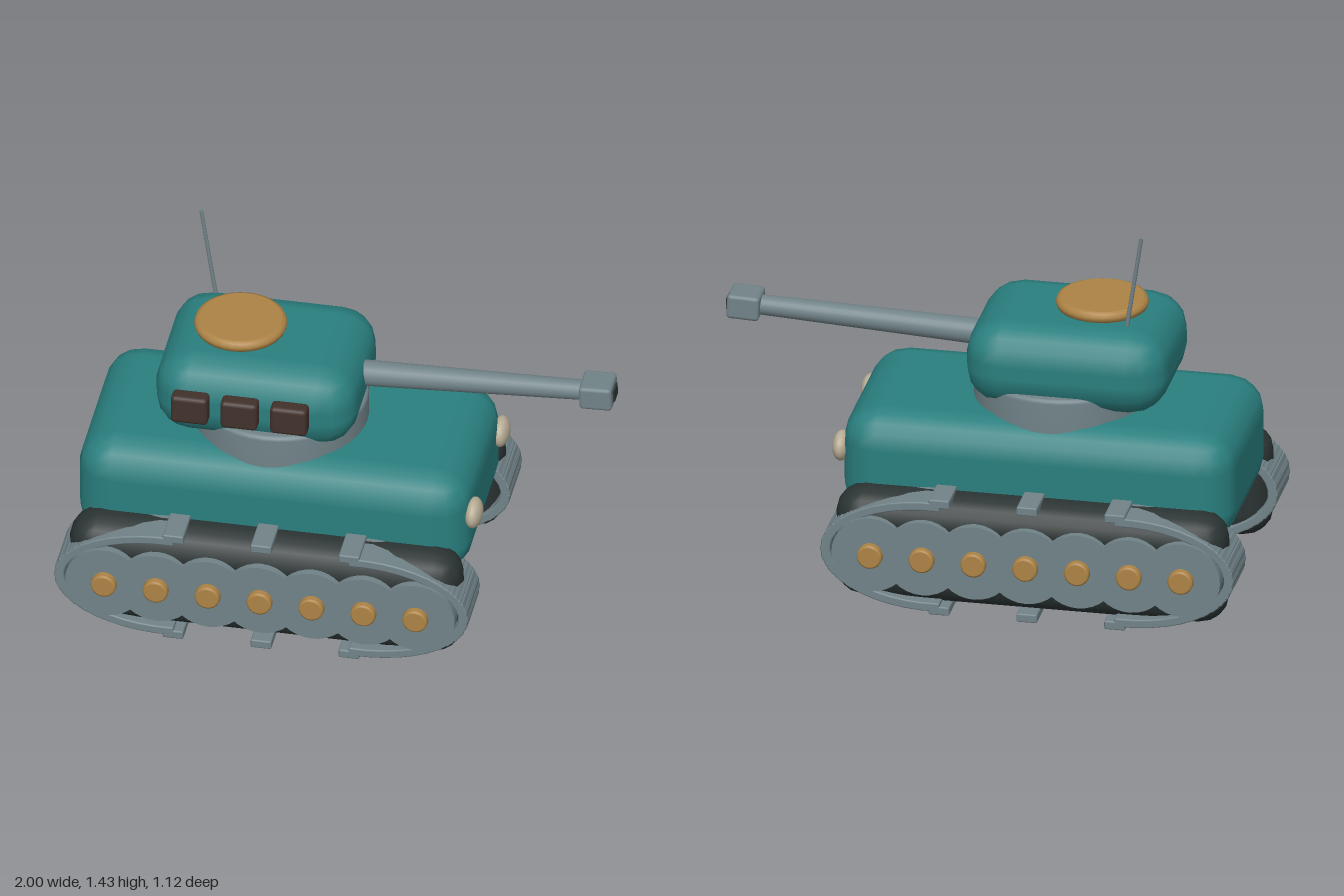
import * as THREE from 'three';
import { RoundedBoxGeometry } from 'three/addons/geometries/RoundedBoxGeometry.js';

const mat = (name, color) => {
  const m = new THREE.MeshStandardMaterial({ color });
  m.name = name;
  return m;
};

export function createModel() {
  const teal = mat('teal paint', 0x2a7f7f);
  const steel = mat('grey steel', 0x718388);
  const rubber = mat('dark rubber', 0x2b3333);
  const brass = mat('brass', 0xac8345);
  const brown = mat('brown leather', 0x42312b);
  const cream = mat('cream glass', 0xb8ad96);

  const model = new THREE.Group();
  model.name = 'tank';

  const add = (parent, name, geometry, material, x = 0, y = 0, z = 0) => {
    const mesh = new THREE.Mesh(geometry, material);
    mesh.name = name;
    mesh.position.set(x, y, z);
    parent.add(mesh);
    return mesh;
  };
  const roundBox = (w, h, d, r, seg = 2) => new RoundedBoxGeometry(w, h, d, seg, r);
  // Rod of changing radius between two points
  const rod = (parent, name, a, b, rA, rB, material, sides) => {
    const dir = b.clone().sub(a);
    const mesh = add(parent, name, new THREE.CylinderGeometry(rB, rA, dir.length(), sides), material);
    mesh.position.copy(a).add(b).multiplyScalar(0.5);
    mesh.quaternion.setFromUnitVectors(new THREE.Vector3(0, 1, 0), dir.normalize());
    return mesh;
  };
  // Disc with a softened rim, axis along y
  const softDisc = (r, h, bevel, sides = 32) => new THREE.LatheGeometry([
    [0, -h / 2], [r - bevel, -h / 2], [r - bevel, -h / 2], [r - bevel * 0.3, -h / 2 + bevel * 0.3],
    [r, -h / 2 + bevel], [r, h / 2 - bevel], [r - bevel * 0.3, h / 2 - bevel * 0.3],
    [r - bevel, h / 2], [r - bevel, h / 2], [0, h / 2],
  ].map(([x, y]) => new THREE.Vector2(x, y)), sides);

  // Hull and turret
  add(model, 'hull', roundBox(1.465, 0.435, 0.755, 0.135), teal, -0.2225, 0.4875, 0);
  add(model, 'turretRing', softDisc(0.325, 0.2, 0.015, 40), steel, -0.255, 0.707, 0);
  add(model, 'turret', roundBox(0.755, 0.325, 0.6, 0.14), teal, -0.308, 0.89, 0);
  add(model, 'hatch', softDisc(0.17, 0.044, 0.018), brass, -0.403, 1.08, 0);
  rod(model, 'antenna', new THREE.Vector3(-0.532, 1.07, -0.18),
    new THREE.Vector3(-0.587, 1.427, -0.187), 0.008, 0.007, steel, 8);

  // Stowage boxes on the turret side
  for (const x of [-0.528, -0.343, -0.158]) {
    add(model, 'stowageBox', roundBox(0.138, 0.115, 0.064, 0.016), brown, x, 0.907, 0.323);
  }

  // Slightly raised gun with a square muzzle
  const gun = new THREE.Group();
  gun.name = 'gun';
  rod(gun, 'barrel', new THREE.Vector3(-0.05, 0.912, 0),
    new THREE.Vector3(0.9, 0.952, 0), 0.05, 0.037, steel, 24);
  const muzzle = add(gun, 'muzzle', roundBox(0.122, 0.094, 0.128, 0.014), steel, 0.929, 0.955, 0);
  muzzle.rotation.z = 0.042;
  const bore = add(gun, 'muzzleBore', new THREE.BoxGeometry(0.009, 0.045, 0.06), rubber, 0.992, 0.956, 0);
  bore.rotation.z = 0.042;
  model.add(gun);

  // Headlights
  for (const side of [1, -1]) {
    const lamp = add(model, 'headlight', new THREE.SphereGeometry(1, 24, 16), cream, 0.517, 0.533, side * 0.26);
    lamp.scale.set(0.033, 0.056, 0.065);
  }

  // Track units
  const shoeGeo = roundBox(0.078, 0.034, 0.235, 0.006, 1);
  const wheelGeo = new THREE.CylinderGeometry(0.145, 0.145, 0.06, 32).rotateX(Math.PI / 2);
  const hubGeo = softDisc(0.047, 0.06, 0.008, 24).rotateX(Math.PI / 2);
  const midX = -0.2265, midY = 0.23, endOffset = 0.365, a = 0.386, b = 0.2;

  for (const side of [1, -1]) {
    const track = new THREE.Group();
    track.name = side > 0 ? 'leftTrack' : 'rightTrack';
    const zMid = side * 0.402;
    add(track, 'trackCore', roundBox(1.465, 0.425, 0.22, 0.105), rubber, midX, 0.235, zMid);

    // Closely packed shoes around both oval ends
    const count = 20;
    for (const end of [1, -1]) {
      for (let i = 0; i <= count; i++) {
        const t = -Math.PI / 2 + (Math.PI * i) / count;
        const shoe = add(track, 'trackShoe', shoeGeo, steel,
          midX + end * (endOffset + a * Math.cos(t)), midY + b * Math.sin(t), zMid);
        shoe.rotation.z = end * Math.atan2(b * Math.cos(t), -a * Math.sin(t));
      }
    }
    // Spaced shoes on the straight runs
    for (const x of [-0.328, 0, 0.328]) {
      for (const y of [0.017, 0.443]) add(track, 'trackShoe', shoeGeo, steel, midX + x, y, zMid);
    }
    // Road wheels with brass hubs
    for (let i = -3; i <= 3; i++) {
      const x = midX + i * 0.1935;
      add(track, 'roadWheel', wheelGeo, steel, x, 0.227, side * 0.504);
      add(track, 'wheelHub', hubGeo, brass, x, 0.227, side * 0.532);
    }
    model.add(track);
  }
  return model;
}
